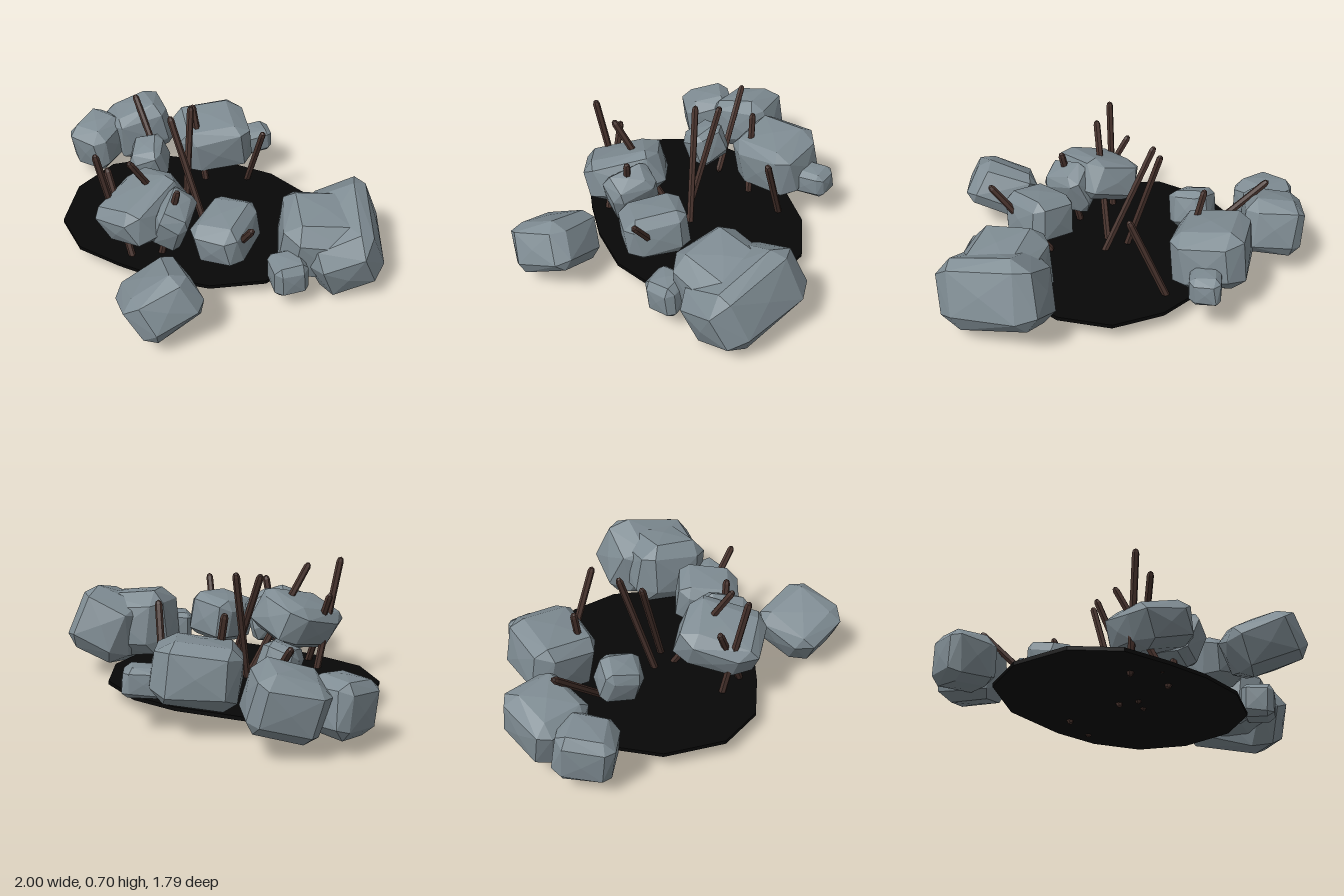
import * as THREE from 'three';
import { ConvexGeometry } from 'three/addons/geometries/ConvexGeometry.js';

const stone = new THREE.MeshStandardMaterial({ color: 0x7f8c93, flatShading: true });
stone.name = 'grey stone';
const wood = new THREE.MeshStandardMaterial({ color: 0x48332d, flatShading: true });
wood.name = 'dark wood';
const soot = new THREE.MeshStandardMaterial({ color: 0x070707, flatShading: true });
soot.name = 'black soot';

// Small seeded generator
function seeded(seed) {
  let s = seed * 7919 + 17;
  return () => (s = (s * 16807) % 2147483647) / 2147483647;
}

// Chipped boulder: a box with cut edges and corners, turned, then fitted between two corners
function rock(name, min, max, turn, dims, seed) {
  const rnd = seeded(seed);
  const points = [];
  const chip = () => 0.54 + 0.2 * rnd();
  for (const x of [-1, 1]) for (const y of [-1, 1]) for (const z of [-1, 1]) {
    points.push(new THREE.Vector3(x, y * chip(), z * chip()));
    points.push(new THREE.Vector3(x * chip(), y, z * chip()));
    points.push(new THREE.Vector3(x * chip(), y * chip(), z));
  }
  // Slight swell in the middle of each side
  for (const s of [-1.06, 1.06]) {
    points.push(new THREE.Vector3(s, 0, 0), new THREE.Vector3(0, s, 0), new THREE.Vector3(0, 0, s));
  }
  const euler = new THREE.Euler(...turn, 'ZYX');
  points.forEach(p => p.multiply(new THREE.Vector3(...dims)).applyEuler(euler));

  const low = new THREE.Vector3(...min), high = new THREE.Vector3(...max);
  const box = new THREE.Box3().setFromPoints(points);
  const mid = box.getCenter(new THREE.Vector3());
  const fit = high.clone().sub(low).divide(box.getSize(new THREE.Vector3()));
  points.forEach(p => p.sub(mid).multiply(fit));

  const mesh = new THREE.Mesh(new ConvexGeometry(points), stone);
  mesh.name = name;
  mesh.position.copy(low).add(high).multiplyScalar(0.5);
  return mesh;
}

// Six-sided twig with chamfered ends, running between two points
function stick(name, top, bottom) {
  const a = new THREE.Vector3(...bottom), b = new THREE.Vector3(...top);
  const h = a.distanceTo(b), r = 0.019;
  const profile = [[0, 0], [r * 0.7, 0.008], [r, 0.025], [r, h - 0.025], [r * 0.7, h - 0.008], [0, h]];
  const geo = new THREE.LatheGeometry(profile.map(p => new THREE.Vector2(...p)), 6);
  const mesh = new THREE.Mesh(geo, wood);
  mesh.name = name;
  mesh.position.copy(a);
  mesh.quaternion.setFromUnitVectors(new THREE.Vector3(0, 1, 0), b.sub(a).normalize());
  return mesh;
}

export function createModel() {
  const model = new THREE.Group();
  model.name = 'fireRing';

  // Scorched ground: uneven outline as x, z
  const outline = [
    [-0.82, -0.15], [-0.76, 0.16], [-0.57, 0.34], [-0.32, 0.39], [-0.08, 0.415], [0.19, 0.39], [0.45, 0.25],
    [0.59, 0], [0.58, -0.31], [0.44, -0.55], [0.19, -0.67], [-0.07, -0.69], [-0.45, -0.63], [-0.73, -0.43],
  ];
  const slab = new THREE.ExtrudeGeometry(
    new THREE.Shape(outline.map(([x, z]) => new THREE.Vector2(x, -z))), { depth: 0.02, bevelEnabled: false });
  const ash = new THREE.Mesh(slab, soot);
  ash.name = 'ashBed';
  ash.rotation.x = -Math.PI / 2;
  ash.position.y = 0.084;
  model.add(ash);

  // Ring of stones: lower corner, upper corner, turn, proportions
  const rocks = [
    ['frontRock', [-0.18, 0.03, 0.46], [0.26, 0.4, 0.89], [0, 0.75, 0.58], [1, 0.8, 1]],
    ['bigLeftRock', [0.52, 0.0, -0.4], [1.0, 0.5, 0.24], [0.4, 0.3, 0.4], [0.9, 0.85, 1.25]],
    ['innerLeftRock', [0.41, 0.07, -0.28], [0.9, 0.47, 0.23], [0.1, 0.35, -0.1], [1.1, 0.9, 1]],
    ['smallLeftRock', [0.45, 0.09, 0.14], [0.67, 0.29, 0.35], [0.1, 0.6, 0.1], [1, 1, 1]],
    ['hearthRock', [0.05, 0.17, 0.01], [0.36, 0.46, 0.37], [0.1, -0.12, 0.15], [1, 0.9, 1.2]],
    ['largeFrontRock', [-0.47, 0.19, -0.05], [-0.04, 0.53, 0.44], [0.15, -0.35, 0.35], [1, 0.75, 1.2]],
    ['leaningFrontRock', [-0.18, 0.19, 0.08], [0.04, 0.51, 0.38], [0.2, 0.2, -0.4], [0.8, 1, 1]],
    ['farRightRock', [-1.0, 0.06, -0.68], [-0.7, 0.36, -0.35], [0.15, -0.2, 0.05], [1, 1, 1.1]],
    ['backRightRock', [-0.88, 0.07, -0.9], [-0.45, 0.43, -0.49], [0.15, 0.65, 0.35], [1.1, 0.9, 1]],
    ['smallInnerRock', [-0.56, 0.16, -0.46], [-0.32, 0.41, -0.21], [0.3, 0.2, 0.3], [1, 1, 1.1]],
    ['backRock', [-0.42, 0.12, -0.9], [0.06, 0.47, -0.44], [0.2, 0.5, 0.15], [1.1, 0.85, 1]],
    ['smallBackRock', [-0.08, 0.17, -0.9], [0.14, 0.33, -0.69], [0.1, 0.6, 0.1], [1.3, 0.9, 1]],
  ];
  rocks.forEach(([name, min, max, turn, dims], i) => model.add(rock(name, min, max, turn, dims, i + 1)));

  // Sticks: top end, bottom end
  const sticks = [
    [[-0.67, 0.48, -0.65], [-0.37, 0.11, -0.39]],
    [[0.2, 0.54, -0.43], [0.06, 0.07, -0.59]],
    [[-0.26, 0.56, -0.54], [-0.15, 0.06, -0.49]],
    [[-0.18, 0.7, -0.31], [-0.14, 0.06, -0.12]],
    [[-0.26, 0.68, -0.2], [0, 0.07, -0.08]],
    [[-0.3, 0.66, 0.25], [-0.09, 0.07, -0.04]],
    [[-0.46, 0.7, 0.3], [-0.38, 0.06, 0.19]],
    [[-0.47, 0.53, 0.16], [-0.27, 0.08, 0.31]],
    [[-0.03, 0.56, 0.26], [-0.15, 0.06, 0.22]],
    [[0.4, 0.5, 0.36], [0.19, 0.1, 0.11]],
  ];
  sticks.forEach(([top, bottom], i) => model.add(stick('stick' + (i + 1), top, bottom)));
  return model;
}
